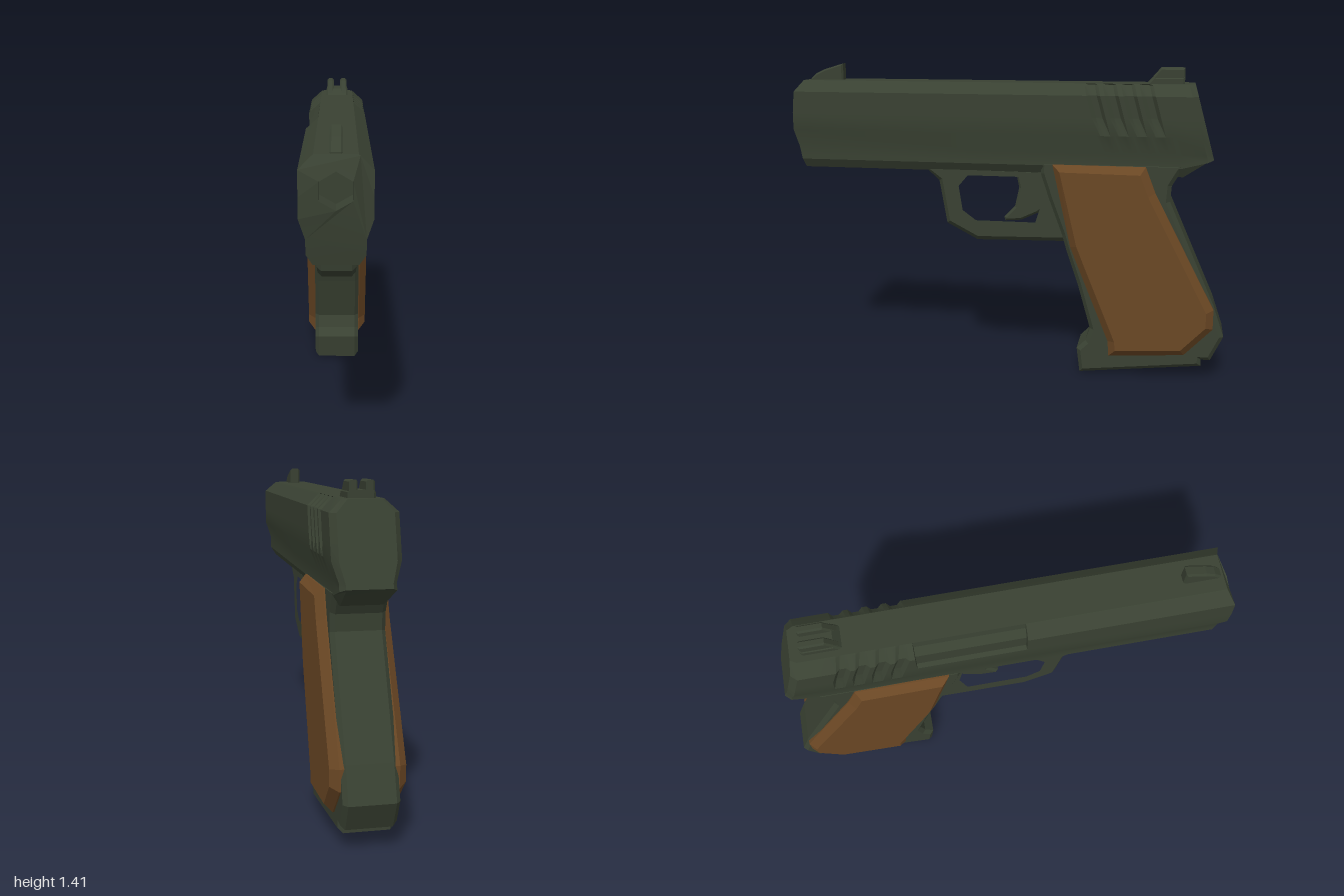
import * as THREE from 'three';
import { toCreasedNormals } from 'three/addons/utils/BufferGeometryUtils.js';

const steel = new THREE.MeshStandardMaterial({ color: 0x394132 });
steel.name = 'dark green steel';
const wood = new THREE.MeshStandardMaterial({ color: 0x6a4724 });
wood.name = 'brown grip';

function add(group, name, geometry, material) {
  const mesh = new THREE.Mesh(geometry, material);
  mesh.name = name;
  group.add(mesh);
  return mesh;
}

// Side outline of [z, y] points, extruded across x with chamfered edges
function slab(points, half, bevel, centreX = 0, hole = null) {
  const shape = new THREE.Shape(points.map(p => new THREE.Vector2(...p)));
  if (hole) shape.holes.push(new THREE.Path(hole.map(p => new THREE.Vector2(...p))));
  const geo = new THREE.ExtrudeGeometry(shape, {
    depth: 2 * (half - bevel), bevelEnabled: bevel > 0, bevelThickness: bevel,
    bevelSize: bevel, bevelOffset: -bevel, bevelSegments: 1,
  });
  geo.translate(0, 0, -(half - bevel));
  geo.rotateY(-Math.PI / 2);
  geo.translate(centreX, 0, 0);
  return geo;
}

// Half cross-section of the slide, from top to bottom
const HALF = [[0.08, 1.345], [0.086, 1.34], [0.135, 1.295], [0.135, 1.2], [0.135, 1.195],
  [0.135, 1.12], [0.11, 1.04], [0.11, 0.98], [0.085, 0.94]];
const PORT = { 1: [0.086, 1.315], 2: [0.115, 1.28], 3: [0.115, 1.2] };
const frontZ = y => 1 - Math.max(0, y - 1.28) * 0.6 - Math.max(0, 1.12 - y) * 0.2;

// One ring, counter-clockwise from the front; the port is only on the right side
function section({ port = false, groove = 0, scale = 1, minY = 0 } = {}) {
  const side = open => HALF.map((p, i) => {
    const [x, y] = open && PORT[i] ? PORT[i] : p;
    const inset = i >= 2 && i <= 4 ? groove : i === 1 ? groove * 0.6 : 0;
    return [(x - inset) * scale, Math.max(y, minY)];
  });
  return [...side(port).map(([x, y]) => [-x, y]), ...side(false).reverse()];
}

function slideGeometry() {
  const shear = 0.28;
  const rings = [
    { front: true }, { z: 0.122 }, { z: 0.12, port: true },
    { z: -0.34, port: true }, { z: -0.342 },
  ];
  // slanted finger grooves
  for (let k = 0; k < 4; k++) {
    const c = -0.42 - k * 0.08;
    for (const [d, groove] of [[0.03, 0], [0.014, 0.016], [-0.014, 0.016], [-0.03, 0]]) {
      rings.push({ z: c + d, groove, shear });
    }
  }
  rings.push({ z: -0.72, shear }, { z: -0.845, shear, minY: 1.01 },
    { z: -0.872, shear, minY: 1.02, scale: 0.82 });

  const pos = [], index = [], n = HALF.length * 2;
  for (const r of rings) {
    for (const [x, y] of section(r)) {
      pos.push(x, y, r.front ? frontZ(y) : r.z + (y - 1.2) * (r.shear || 0));
    }
  }
  for (let r = 0; r < rings.length - 1; r++) {
    for (let i = 0; i < n; i++) {
      const a = r * n + i, b = r * n + (i + 1) % n;
      index.push(a, a + n, b, b, a + n, b + n);
    }
  }
  // rear cap
  const last = (rings.length - 1) * n, centre = pos.length / 3;
  pos.push(0, 1.2, -0.872);
  for (let i = 0; i < n; i++) index.push(centre, last + (i + 1) % n, last + i);
  const geo = new THREE.BufferGeometry();
  geo.setAttribute('position', new THREE.Float32BufferAttribute(pos, 3));
  geo.setIndex(index);
  return toCreasedNormals(geo, 0.4);
}

// Front face with a hexagonal opening
function muzzleFace(hex) {
  const shape = new THREE.Shape(section().map(p => new THREE.Vector2(...p)));
  shape.holes.push(new THREE.Path(hex));
  const geo = new THREE.ShapeGeometry(shape);
  const p = geo.attributes.position;
  for (let i = 0; i < p.count; i++) p.setZ(i, frontZ(p.getY(i)));
  return toCreasedNormals(geo, 0.1);
}

export function createModel() {
  const model = new THREE.Group();
  model.name = 'pistol';

  // Slide and muzzle
  const slide = new THREE.Group();
  slide.name = 'slide';
  model.add(slide);
  add(slide, 'slideBody', slideGeometry(), steel);
  const hex = Array.from({ length: 6 }, (_, i) => {
    const a = Math.PI / 2 + i * Math.PI / 3;
    return new THREE.Vector2(0.07 * Math.cos(a), 1.22 + 0.07 * Math.sin(a));
  });
  add(slide, 'muzzleFace', muzzleFace(hex), steel);
  const bore = [], boreIndex = [];
  hex.forEach((h, i) => {
    const j = (i + 1) % 6;
    bore.push(h.x, h.y, 1, h.x, h.y, 0.9);
    boreIndex.push(2 * i, 2 * j, 2 * i + 1, 2 * j, 2 * j + 1, 2 * i + 1);
    boreIndex.push(12, 2 * i + 1, 2 * j + 1);
  });
  bore.push(0, 1.22, 0.9);
  const boreGeo = new THREE.BufferGeometry();
  boreGeo.setAttribute('position', new THREE.Float32BufferAttribute(bore, 3));
  boreGeo.setIndex(boreIndex);
  add(slide, 'bore', toCreasedNormals(boreGeo, 0.3), steel);

  // Sights
  add(slide, 'frontSight', slab([[0.79, 1.33], [0.95, 1.33], [0.95, 1.35], [0.92, 1.375],
    [0.88, 1.393], [0.79, 1.42]], 0.025, 0.008), steel);
  add(slide, 'rearSightBase', slab([[-0.785, 1.33], [-0.62, 1.33], [-0.62, 1.345],
    [-0.65, 1.375], [-0.785, 1.375]], 0.054, 0.008), steel);
  for (const s of [-1, 1]) {
    add(slide, 'rearSightPost', slab([[-0.785, 1.34], [-0.63, 1.34], [-0.63, 1.355],
      [-0.68, 1.413], [-0.785, 1.413]], 0.017, 0.007, s * 0.033), steel);
  }

  // Grip frame with flared foot
  add(model, 'gripFrame', slab([[-0.16, 1.0], [-0.16, 0.94], [-0.2, 0.82], [-0.26, 0.66],
    [-0.28, 0.59], [-0.335, 0.43], [-0.395, 0.22], [-0.375, 0.16], [-0.335, 0.12],
    [-0.35, 0.005], [-0.905, 0.07], [-0.905, 0.1], [-0.945, 0.1], [-1.0, 0.215],
    [-0.95, 0.36], [-0.74, 0.83], [-0.745, 0.9], [-0.785, 0.97], [-0.8, 1.0]],
  0.112, 0.018), steel);

  // Grip panels
  for (const s of [-1, 1]) {
    add(model, s > 0 ? 'leftGripPanel' : 'rightGripPanel', slab([[-0.215, 0.985],
      [-0.3, 0.61], [-0.34, 0.51], [-0.48, 0.17], [-0.485, 0.1], [-0.825, 0.125],
      [-0.95, 0.255], [-0.95, 0.345], [-0.675, 0.87], [-0.63, 0.985]],
    0.045, 0.033, s * 0.106), wood);
  }

  // Trigger guard and trigger
  add(model, 'triggerGuard', slab([[0.39, 0.96], [0.37, 0.935], [0.32, 0.89], [0.285, 0.69],
    [0.14, 0.615], [-0.3, 0.625], [-0.3, 0.96]], 0.088, 0.02, 0,
  [[0.17, 0.92], [0.225, 0.875], [0.205, 0.745], [0.13, 0.71], [-0.13, 0.71],
    [-0.17, 0.82], [-0.15, 0.92]].map(([z, y]) => [z * 1.0 + (z > 0 ? 0.02 : -0.02),
    y < 0.72 ? y - 0.02 : y > 0.9 ? y + 0.02 : y])), steel);
  add(model, 'trigger', slab([[-0.03, 0.96], [-0.05, 0.86], [-0.03, 0.77], [0.02, 0.72],
    [0.015, 0.702], [-0.06, 0.708], [-0.14, 0.745], [-0.22, 0.82], [-0.2, 0.96]],
  0.04, 0.01), steel);

  return model;
}
